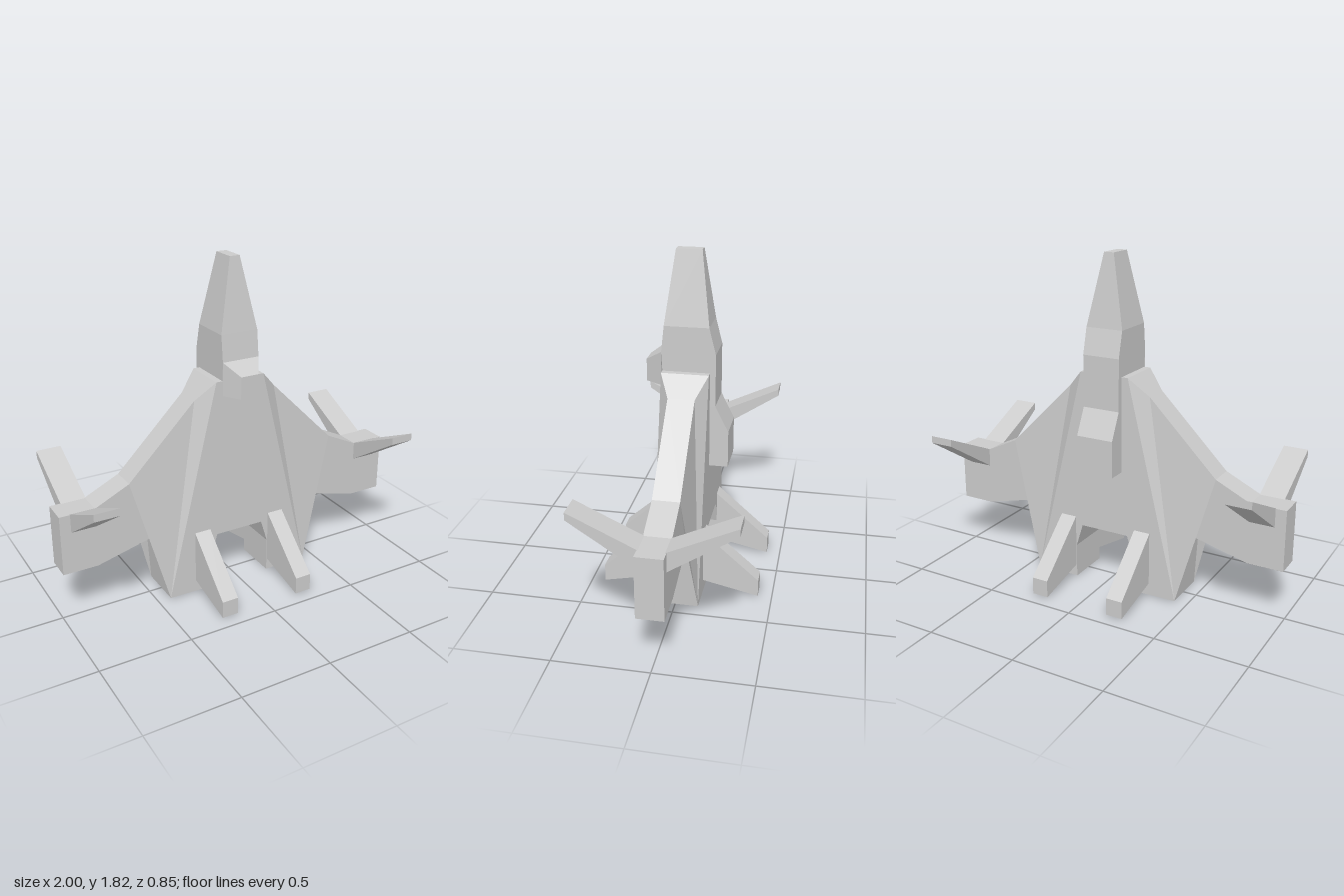
import * as THREE from 'three';

const material = new THREE.MeshStandardMaterial({ color: 0xcccccc, flatShading: true });

function addMesh(parent, name, geometry) {
  const mesh = new THREE.Mesh(geometry, material);
  mesh.name = name;
  parent.add(mesh);
}

function fromTriangles(points) {
  const geometry = new THREE.BufferGeometry();
  geometry.setAttribute('position', new THREE.Float32BufferAttribute(points.flat(), 3));
  geometry.computeVertexNormals();
  return geometry;
}

// Capped skin through four-cornered rings, listed from bottom to top
function loft(rings) {
  const out = [];
  const quad = (a, b, c, d) => out.push(a, b, c, a, c, d);
  for (let r = 0; r < rings.length - 1; r++) {
    const lo = rings[r], hi = rings[r + 1];
    for (let i = 0; i < 4; i++) {
      const j = (i + 1) % 4;
      quad(lo[i], lo[j], hi[j], hi[i]);
    }
  }
  quad(...[...rings[0]].reverse());
  quad(...rings[rings.length - 1]);
  return fromTriangles(out);
}

// Side profile of [z, y] points given thickness from x0 to x1
function prism(profile, x0, x1) {
  const shape = new THREE.Shape(profile.map(([z, y]) => new THREE.Vector2(z, y)));
  const geometry = new THREE.ExtrudeGeometry(shape, { depth: x1 - x0, bevelEnabled: false });
  return geometry.rotateY(-Math.PI / 2).translate(x1, 0, 0);
}

// Hull with wings: half outline [x, y, half thickness], clockwise from the top centre
function hullGeometry() {
  const T = 0.125, W = 0.07;
  const outline = [
    [0, 1.2, T], [0.14, 1.2, T], [0.24, 1.1, W], [0.62, 0.72, W], [0.81, 0.63, W],
    [1, 0.63, W], [1, 0.3, W], [0.81, 0.3, W], [0.475, 0.385, W], [0.43, 0.005, T],
    [0.18, 0, T], [0.18, 0.19, T], [0.14, 0.32, T], [0, 0.32, T],
  ];
  const facets = [
    [0, 1, 12], [0, 12, 13], [1, 9, 11], [9, 10, 11], [1, 11, 12], [1, 2, 9], [2, 3, 9],
    [3, 8, 9], [3, 4, 7], [3, 7, 8], [4, 5, 6], [4, 6, 7],
  ];
  const out = [];
  for (const sx of [1, -1]) {
    const at = (i, sz) => [sx * outline[i][0], outline[i][1], sz * outline[i][2]];
    const push = (a, b, c) => (sx > 0 ? out.push(a, b, c) : out.push(a, c, b));
    for (const [a, b, c] of facets) {
      push(at(a, 1), at(c, 1), at(b, 1));
      push(at(a, -1), at(b, -1), at(c, -1));
    }
    // rim joining front and back
    for (let i = 0; i < outline.length - 1; i++) {
      push(at(i, 1), at(i + 1, 1), at(i + 1, -1));
      push(at(i, 1), at(i + 1, -1), at(i, -1));
    }
  }
  return fromTriangles(out);
}

export function createModel() {
  const model = new THREE.Group();
  model.name = 'spacecraft';

  addMesh(model, 'hullAndWings', hullGeometry());

  // Nose and spine: [y, half width, front z, back z]
  const sections = [
    [0.68, 0.105, 0, -0.225], [0.88, 0.105, 0, -0.225], [1.02, 0.105, 0.1, -0.155],
    [1.12, 0.105, 0.12, -0.155], [1.3, 0.105, 0.13, -0.155], [1.44, 0.105, 0.115, -0.12],
    [1.82, 0.028, 0.065, -0.07],
  ];
  addMesh(model, 'noseAndSpine', loft(sections.map(([y, w, f, b]) =>
    [[-w, y, f], [w, y, f], [w, y, b], [-w, y, b]])));

  // Cockpit wedge on the front of the nose
  const cockpitRing = (front, back) => [
    [-0.05, front, 0.22], [0.05, front, 0.22], [0.105, back, 0.13], [-0.105, back, 0.13],
  ];
  addMesh(model, 'cockpit', loft([cockpitRing(1.12, 1.12), cockpitRing(1.24, 1.3)]));

  // Swept fins through the engines, and a V of blades at each wing tip
  const engineFin = [
    [0.425, 0.1], [0.1, 0.385], [-0.1, 0.385], [-0.425, 0.1],
    [-0.425, 0.005], [-0.1, 0.075], [0.1, 0.075], [0.425, 0.005],
  ];
  const tipBlade = [
    [0.405, 0.79], [0, 0.6], [-0.405, 0.79], [-0.405, 0.75],
    [-0.07, 0.53], [0.07, 0.53], [0.405, 0.75],
  ];
  for (const [side, s] of [['left', 1], ['right', -1]]) {
    const place = (name, profile, inner, outer) => addMesh(model, side + name,
      prism(profile, Math.min(s * inner, s * outer), Math.max(s * inner, s * outer)));
    place('EngineFins', engineFin, 0.183, 0.275);
    place('WingTipBlades', tipBlade, 0.808, 0.942);
  }
  return model;
}
